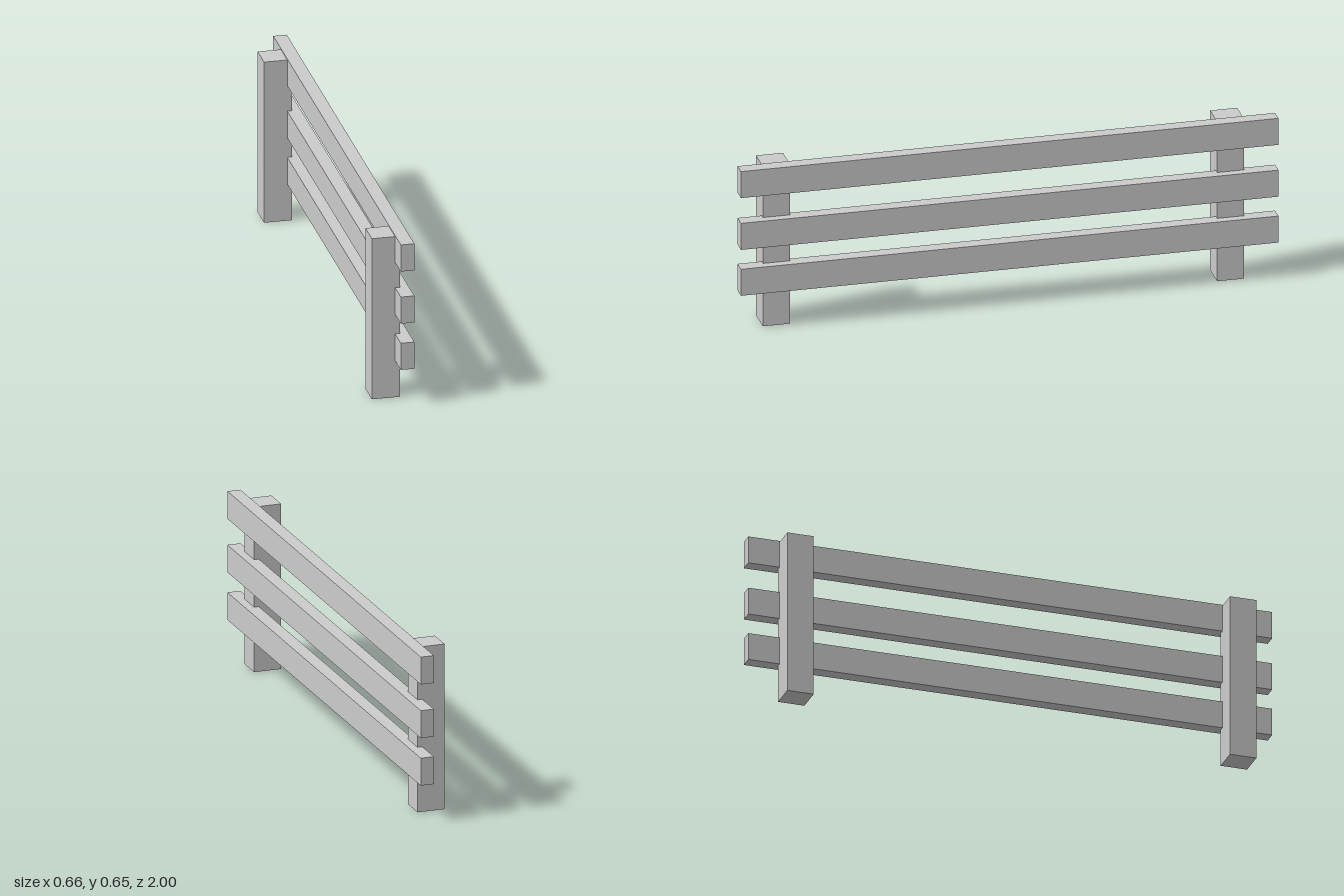
import * as THREE from 'three';

export function createModel() {
  const model = new THREE.Group();
  model.name = 'fence';
  const material = new THREE.MeshStandardMaterial({ color: 0xcccccc, flatShading: true });

  // The whole fence section is turned slightly about the vertical axis
  const fence = new THREE.Group();
  fence.name = 'fenceSection';
  fence.position.x = 0.0257;
  fence.rotation.y = 0.276;
  model.add(fence);

  const addBeam = (name, size, position) => {
    const mesh = new THREE.Mesh(new THREE.BoxGeometry(...size), material);
    mesh.name = name;
    mesh.position.set(...position);
    fence.add(mesh);
  };

  // Three horizontal rails
  const railHeights = { lowerRail: 0.202, middleRail: 0.389, upperRail: 0.6 };
  for (const [name, y] of Object.entries(railHeights)) {
    addBeam(name, [0.052, 0.108, 2.065], [0, y, 0]);
  }

  // Two posts, set slightly into the inner side of the rails
  const postPositions = { frontPost: 0.888, backPost: -0.857 };
  for (const [name, z] of Object.entries(postPositions)) {
    addBeam(name, [0.108, 0.65, 0.104], [-0.061, 0.325, z]);
  }

  return model;
}
